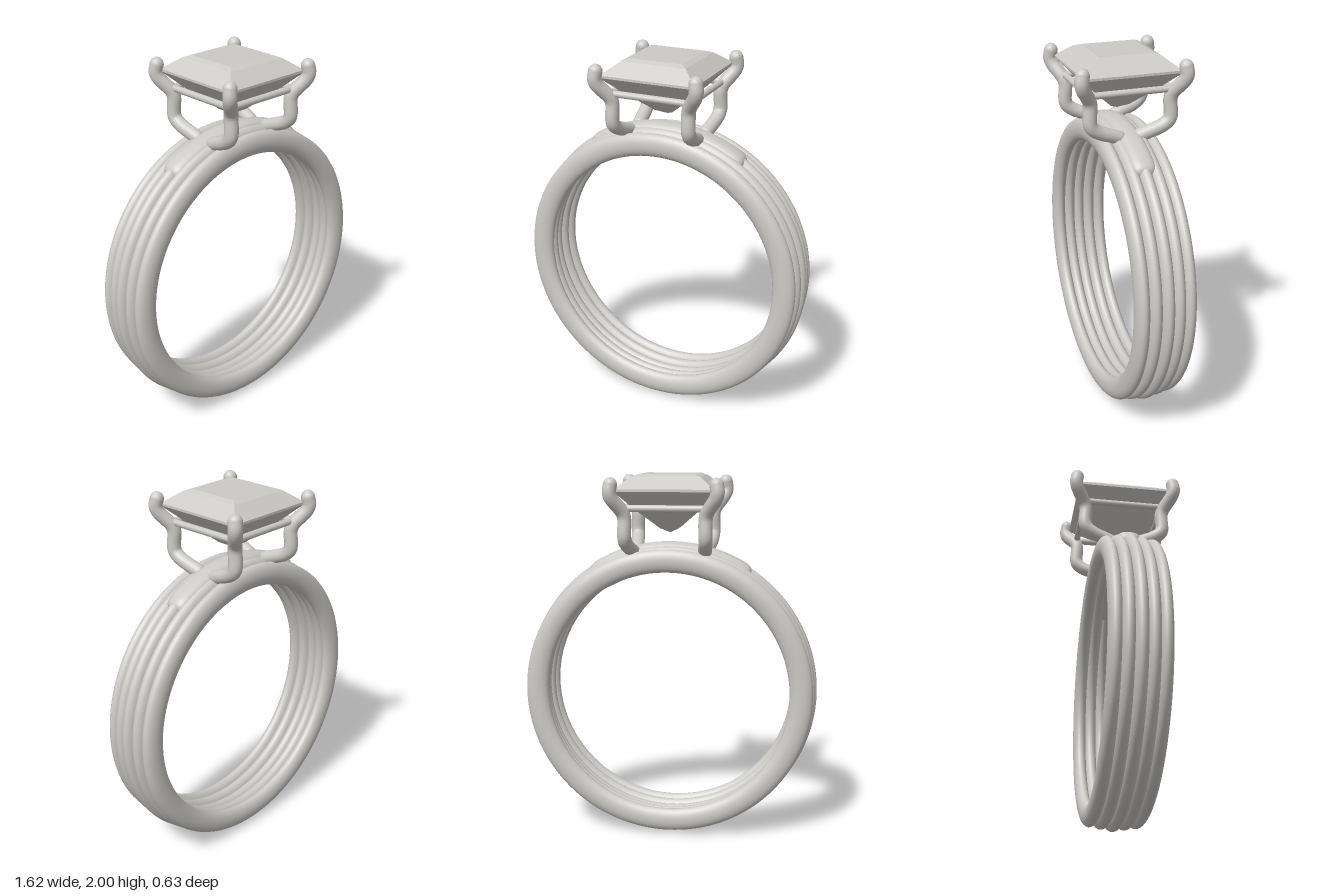
import * as THREE from 'three';
import { mergeVertices } from 'three/addons/utils/BufferGeometryUtils.js';

const CY = 0.815; // height of the band's centre
const CZ = -0.012; // depth of the ring's mid plane

export function createModel() {
  const silver = new THREE.MeshStandardMaterial({ color: 0xcccac6 });
  silver.name = 'silver';
  const ring = new THREE.Group();
  ring.name = 'ring';
  const add = (name, geometry, parent = ring) => {
    const mesh = new THREE.Mesh(geometry, silver);
    mesh.name = name;
    parent.add(mesh);
    return mesh;
  };

  // Band: five hoops with oval section, the middle one largest
  for (let i = -2; i <= 2; i++) {
    const hoop = new THREE.TorusGeometry(0.748 - Math.abs(i) * 0.01, 0.0625, 28, 128);
    hoop.scale(1, 1, 0.6);
    add('bandHoop', hoop).position.set(0, CY, CZ + i * 0.0625);
  }

  // Saddle: smooth pad along the top of the band, closed at both ends
  const along = 64, around = 32;
  const pad = new THREE.TorusGeometry(1, 0.1, around, along);
  const pos = pad.attributes.position;
  const bulge = (c) => Math.sign(c) * Math.abs(c) ** 0.75;
  for (let j = 0, n = 0; j <= around; j++) {
    for (let i = 0; i <= along; i++, n++) {
      const t = -Math.cos((i / along) * Math.PI);
      const taper = Math.max(0, 1 - t ** 24) ** 0.5;
      const v = (j / around) * Math.PI * 2;
      const r = 0.74 + 0.081 * taper * bulge(Math.cos(v));
      const a = Math.PI / 2 + t * 0.61;
      pos.setXYZ(n, r * Math.cos(a), r * Math.sin(a), 0.074 * taper * bulge(Math.sin(v)));
    }
  }
  pad.deleteAttribute('uv');
  pad.deleteAttribute('normal');
  const saddle = mergeVertices(pad, 1e-5);
  saddle.computeVertexNormals();
  add('saddle', saddle).position.set(0, CY, CZ);

  // Setting: four bent prongs with round tips
  const setting = new THREE.Group();
  setting.name = 'setting';
  setting.position.z = CZ;
  ring.add(setting);
  const R = 0.037;
  for (const sx of [-1, 1]) {
    for (const sz of [-1, 1]) {
      const p = [
        [0.195, 1.585, 0.06], [0.21, 1.635, 0.185], [0.214, 1.67, 0.217], [0.214, 1.775, 0.217],
        [0.222, 1.805, 0.225], [0.272, 1.88, 0.272], [0.28, 1.91, 0.28], [0.275, 1.95, 0.275],
      ].map(([x, y, z]) => new THREE.Vector3(sx * x, y, sz * z));
      const path = new THREE.CatmullRomCurve3(p, false, 'centripetal');
      add('prong', new THREE.TubeGeometry(path, 48, R, 16), setting);
      for (const end of [p[0], p[p.length - 1]]) {
        add('prongEnd', new THREE.SphereGeometry(R, 16, 12), setting).position.copy(end);
      }
    }
  }

  // Gallery: square of thin rails joining the prongs
  for (let k = 0; k < 4; k++) {
    const rail = new THREE.CylinderGeometry(0.018, 0.018, 0.44, 12);
    rail.rotateZ(Math.PI / 2);
    rail.translate(0, 1.825, 0.22);
    rail.rotateY((k * Math.PI) / 2);
    add('galleryRail', rail, setting);
  }

  // Gem: square cut, [half width, height] from point to table
  const cut = [
    [0, 1.685], [0.05, 1.71], [0.16, 1.81], [0.262, 1.912],
    [0.262, 1.925], [0.18, 1.988], [0.148, 2], [0, 2],
  ].map(([w, y]) => new THREE.Vector2(w * Math.SQRT2, y));
  const gem = new THREE.LatheGeometry(cut, 4).rotateY(Math.PI / 4).toNonIndexed();
  gem.computeVertexNormals();
  add('gem', gem, setting);

  return ring;
}
